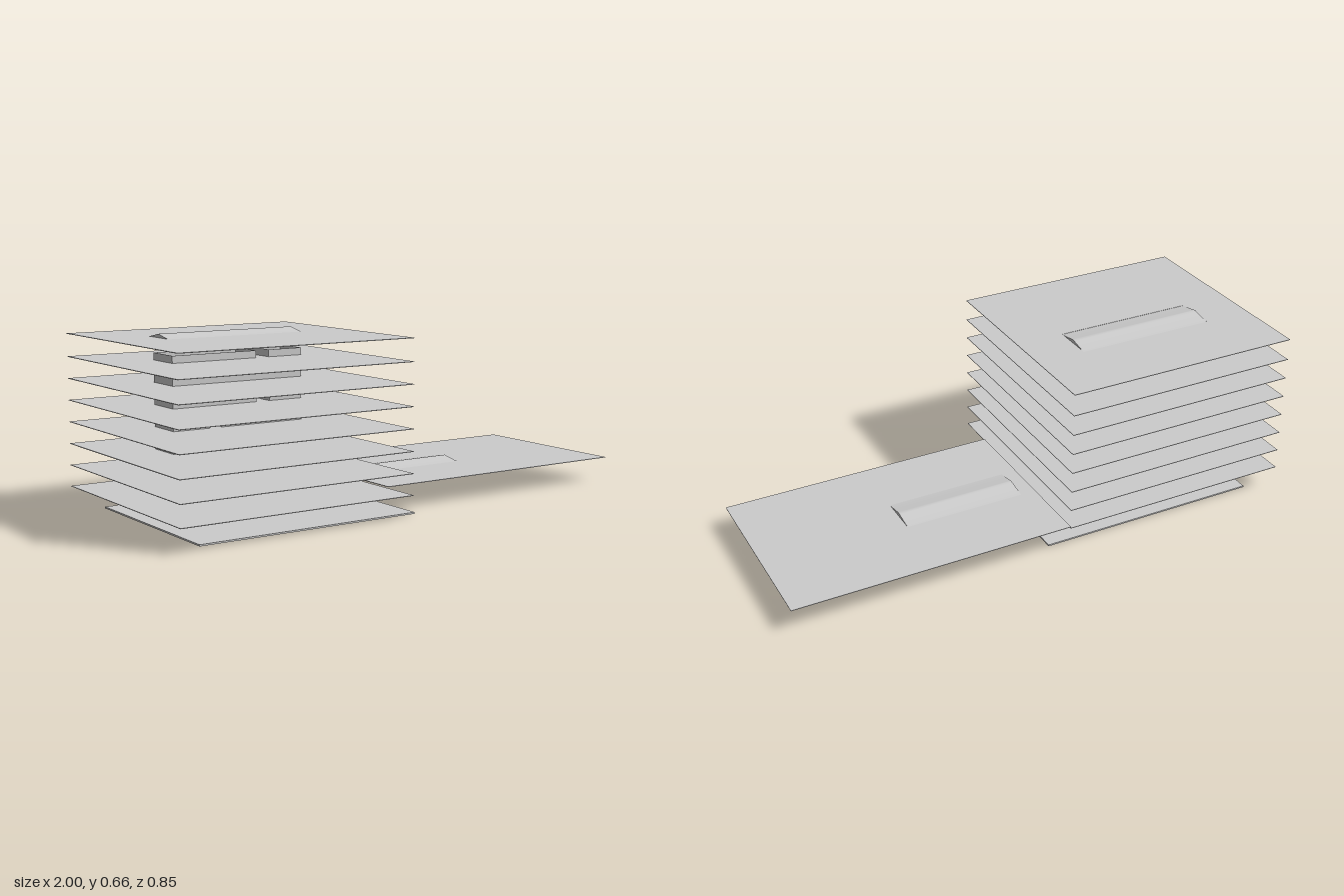
import * as THREE from 'three';

const grey = new THREE.MeshStandardMaterial({ color: 0xcccccc });
const thin = new THREE.MeshStandardMaterial({ color: 0xcccccc, side: THREE.DoubleSide });
const WELL = [-0.14, 0.002]; // z range of the atrium openings
const SLAB = 0.002;

function add(parent, name, geometry, material = grey) {
  const mesh = new THREE.Mesh(geometry, material);
  mesh.name = name;
  parent.add(mesh);
  return mesh;
}

function trace(path, x0, x1, z0, z1) {
  path.moveTo(x0, -z0);
  path.lineTo(x0, -z1);
  path.lineTo(x1, -z1);
  path.lineTo(x1, -z0);
  path.closePath();
  return path;
}

// Horizontal slab with rectangular openings, its top at y
function slab(parent, name, [x0, x1, z0, z1], y, thickness, holes = []) {
  const shape = trace(new THREE.Shape(), x0, x1, z0, z1);
  for (const h of holes) shape.holes.push(trace(new THREE.Path(), ...h));
  const geo = new THREE.ExtrudeGeometry(shape, { depth: thickness, bevelEnabled: false });
  geo.rotateX(-Math.PI / 2).translate(0, y - thickness, 0);
  return add(parent, name, geo);
}

// Thin parapet around an atrium opening
function balustrade(parent, x0, x1, y) {
  const h = 0.026, group = new THREE.Group();
  group.name = 'balustrade';
  const [z0, z1] = WELL, cx = (x0 + x1) / 2, cz = (z0 + z1) / 2;
  for (const z of [z0, z1])
    add(group, 'longRail', new THREE.BoxGeometry(x1 - x0, h, 0.002)).position.set(cx, y + h / 2, z);
  for (const x of [x0, x1])
    add(group, 'endRail', new THREE.BoxGeometry(0.002, h, z1 - z0)).position.set(x, y + h / 2, cz);
  parent.add(group);
}

// Stepped flight with a half-way landing
function stair(parent, xa, ya, xb, yb, z0, z1) {
  const steps = 6, landing = 0.26, drop = 0.02;
  const run = xb - xa, rise = (yb - ya) / (2 * steps);
  const tread = run * (1 - landing) / (2 * steps);
  const shape = new THREE.Shape();
  let x = xa, y = ya;
  shape.moveTo(x, y);
  for (let i = 0; i < 2 * steps; i++) {
    if (i === steps) shape.lineTo(x += run * landing, y);
    shape.lineTo(x, y += rise);
    shape.lineTo(x += tread, y);
  }
  const mid = (ya + yb) / 2 - drop, half = run * landing / 2;
  shape.lineTo(xb, yb - drop);
  shape.lineTo((xa + xb) / 2 + half, mid);
  shape.lineTo((xa + xb) / 2 - half, mid);
  shape.lineTo(xa + tread, Math.max(ya - drop, 0.002));
  const geo = new THREE.ExtrudeGeometry(shape, { depth: z1 - z0, bevelEnabled: false });
  add(parent, 'stair', geo.translate(0, 0, z0));
}

// Low ridged skylight, hollow underneath
function skylight(parent, x0, x1, z0, z1, y) {
  const group = new THREE.Group(), n = 16, width = z1 - z0, peak = 0.0145;
  group.name = 'skylight';
  const height = t => peak * Math.pow(1 - Math.abs(2 * t - 1), 1.15);
  const geo = new THREE.PlaneGeometry(x1 - x0, width, 1, n).rotateX(-Math.PI / 2);
  const p = geo.attributes.position;
  for (let i = 0; i < p.count; i++) p.setY(i, height(p.getZ(i) / width + 0.5));
  geo.computeVertexNormals();
  add(group, 'skylightGlazing', geo, thin).position.set((x0 + x1) / 2, y, (z0 + z1) / 2);
  const gable = new THREE.Shape();
  for (let i = 0; i <= n; i++) {
    const t = i / n;
    if (i) gable.lineTo(-z0 - t * width, height(t));
    else gable.moveTo(-z0, 0);
  }
  for (const x of [x0, x1]) {
    const end = new THREE.ShapeGeometry(gable).rotateY(Math.PI / 2);
    add(group, 'skylightGable', end, thin).position.set(x, y, 0);
  }
  parent.add(group);
}

export function createModel() {
  const model = new THREE.Group();
  model.name = 'atriumBuilding';
  const plan = [-1, -0.08, -0.427, 0.424];

  // Ground slab
  slab(model, 'groundSlab', [-0.89, -0.015, -0.38, 0.343], 0.006, 0.006);

  // Storeys: height and x ranges of the atrium openings
  const storeys = [
    [0.089, [[-0.62, -0.47], [-0.415, -0.16]]],
    [0.167, [[-0.62, -0.28]]],
    [0.246, [[-0.8, -0.28]]],
    [0.326, [[-0.8, -0.66], [-0.61, -0.28]]],
    [0.405, [[-0.8, -0.47], [-0.415, -0.28]]],
    [0.484, [[-0.8, -0.28]]],
    [0.563, [[-0.8, -0.47], [-0.415, -0.28]]],
  ];
  for (const [y, wells] of storeys) {
    slab(model, 'floor', plan, y, SLAB, wells.map(([a, b]) => [a, b, ...WELL]));
    for (const [a, b] of wells) balustrade(model, a, b, y);
  }

  // Stairs in two lanes: start x, end x, lane
  const back = [-0.123, -0.073], front = [-0.066, -0.016];
  const flights = [
    [-0.28, -0.415, back],
    [-0.47, -0.62, back],
    [-0.66, -0.8, back],
    [-0.8, -0.66, front],
    [-0.61, -0.47, front],
    [-0.415, -0.28, front],
    [-0.28, -0.415, back],
  ];
  flights.forEach(([xa, xb, lane], i) => {
    const from = i ? storeys[i - 1][0] : 0.006;
    stair(model, xa, from, xb, storeys[i][0], ...lane);
  });

  // Roof and side wing, each opened below its skylight
  const roofLight = [-0.81, -0.27, -0.162, -0.002];
  slab(model, 'roof', plan, 0.646, SLAB, [roofLight]);
  skylight(model, ...roofLight, 0.645);

  const wingLight = [-0.02, 0.45, -0.155, 0.005];
  slab(model, 'wingRoof', [-0.08, 1, -0.427, 0.272], 0.095, SLAB, [wingLight]);
  skylight(model, ...wingLight, 0.095);

  return model;
}
